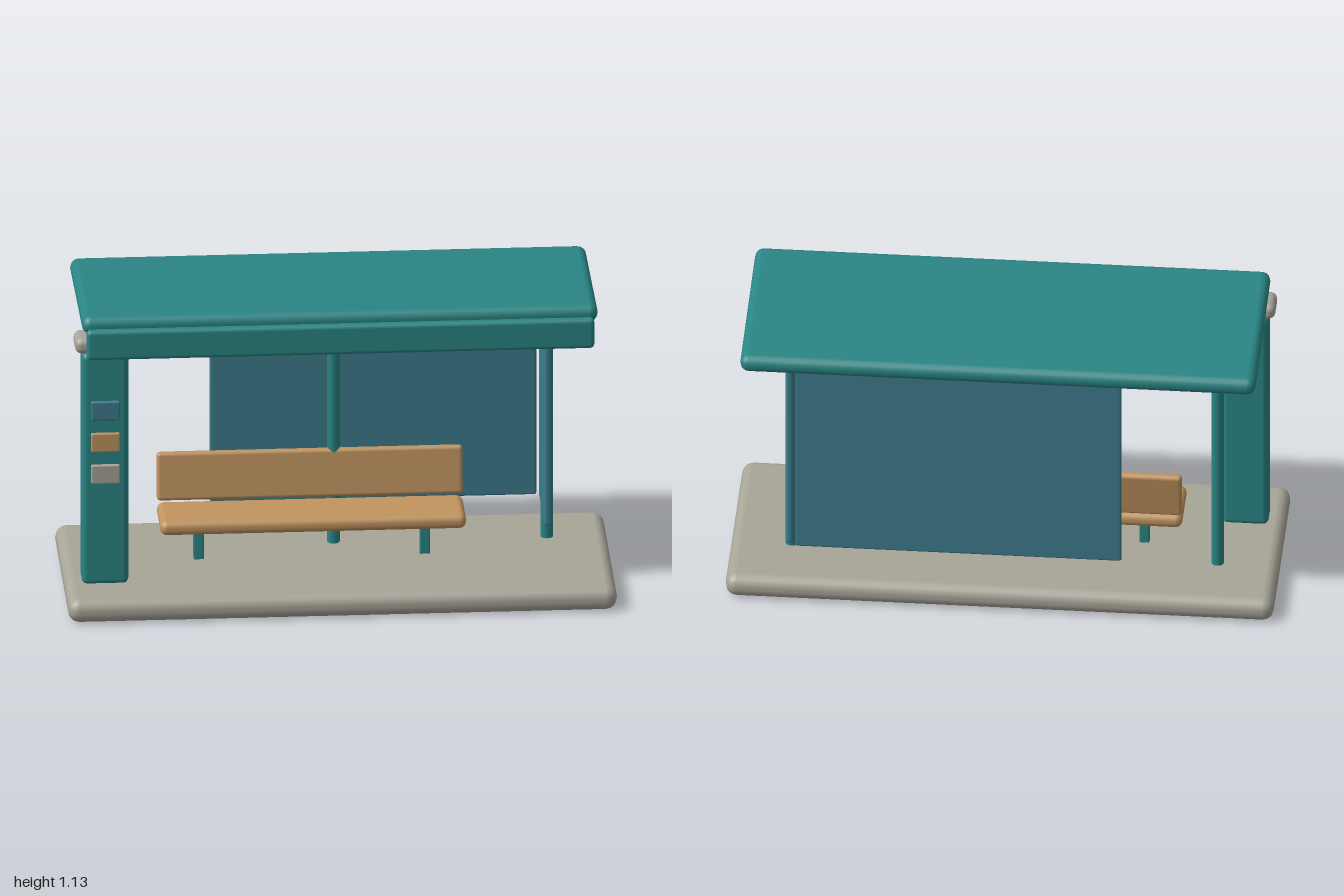
import * as THREE from 'three';
import { RoundedBoxGeometry } from 'three/addons/geometries/RoundedBoxGeometry.js';

const paint = (color) => new THREE.MeshStandardMaterial({ color });

export function createModel() {
  const model = new THREE.Group();
  model.name = 'busShelter';
  const teal = paint(0x2a8585);
  const blue = paint(0x3d7d8e);
  const wood = paint(0xc0945f);
  const stone = paint(0xa8a598);

  // Rounded box given by its size, centre and edge radius
  function block(name, material, [w, h, d], [x, y, z], radius, parent = model) {
    const mesh = new THREE.Mesh(new RoundedBoxGeometry(w, h, d, 2, radius), material);
    mesh.position.set(x, y, z);
    mesh.name = name;
    parent.add(mesh);
    return mesh;
  }

  // Ground slab
  block('baseSlab', stone, [2, 0.09, 0.79], [0, 0.045, 0.035], 0.042);

  // Sloping roof with a fascia along its front edge
  const roof = block('roof', teal, [1.88, 0.067, 0.7], [0, 1.085, -0.08], 0.032);
  roof.rotation.x = -0.05;
  block('fascia', teal, [1.85, 0.116, 0.038], [0, 1.038, 0.28], 0.016);

  // Round roof posts
  const postGeometry = new THREE.CylinderGeometry(0.023, 0.023, 0.99, 12);
  for (const x of [-0.777, 0, 0.777]) {
    const post = new THREE.Mesh(postGeometry, teal);
    post.position.set(x, 0.575, -0.105);
    post.name = 'post';
    model.add(post);
  }

  // Glazed back and side panels
  block('backPanel', blue, [1.19, 0.81, 0.018], [0.155, 0.595, -0.27], 0.008);
  block('sidePanel', blue, [0.026, 0.81, 0.314], [0.771, 0.595, -0.105], 0.01);

  // Information pillar with cap and three signs
  const pillar = new THREE.Group();
  pillar.name = 'infoPillar';
  model.add(pillar);
  block('pillarBody', teal, [0.17, 0.905, 0.104], [-0.855, 0.537, 0.203], 0.022, pillar);
  block('pillarCap', stone, [0.22, 0.06, 0.12], [-0.855, 1.02, 0.202], 0.025, pillar);
  [blue, wood, stone].forEach((material, i) => {
    block('sign', material, [0.106, 0.075, 0.016], [-0.855, 0.772 - i * 0.124, 0.264], 0.007, pillar);
  });

  // Bench
  const bench = new THREE.Group();
  bench.name = 'bench';
  model.add(bench);
  block('seat', wood, [1.115, 0.055, 0.225], [-0.088, 0.244, 0.018], 0.025, bench);
  const backrest = block('backrest', wood, [1.115, 0.182, 0.034], [-0.088, 0.368, -0.09], 0.014, bench);
  backrest.rotation.x = -0.12;
  for (const side of [-1, 1]) {
    block('benchLeg', teal, [0.037, 0.15, 0.037], [-0.088 + side * 0.412, 0.157, 0.02], 0.005, bench);
  }

  return model;
}
